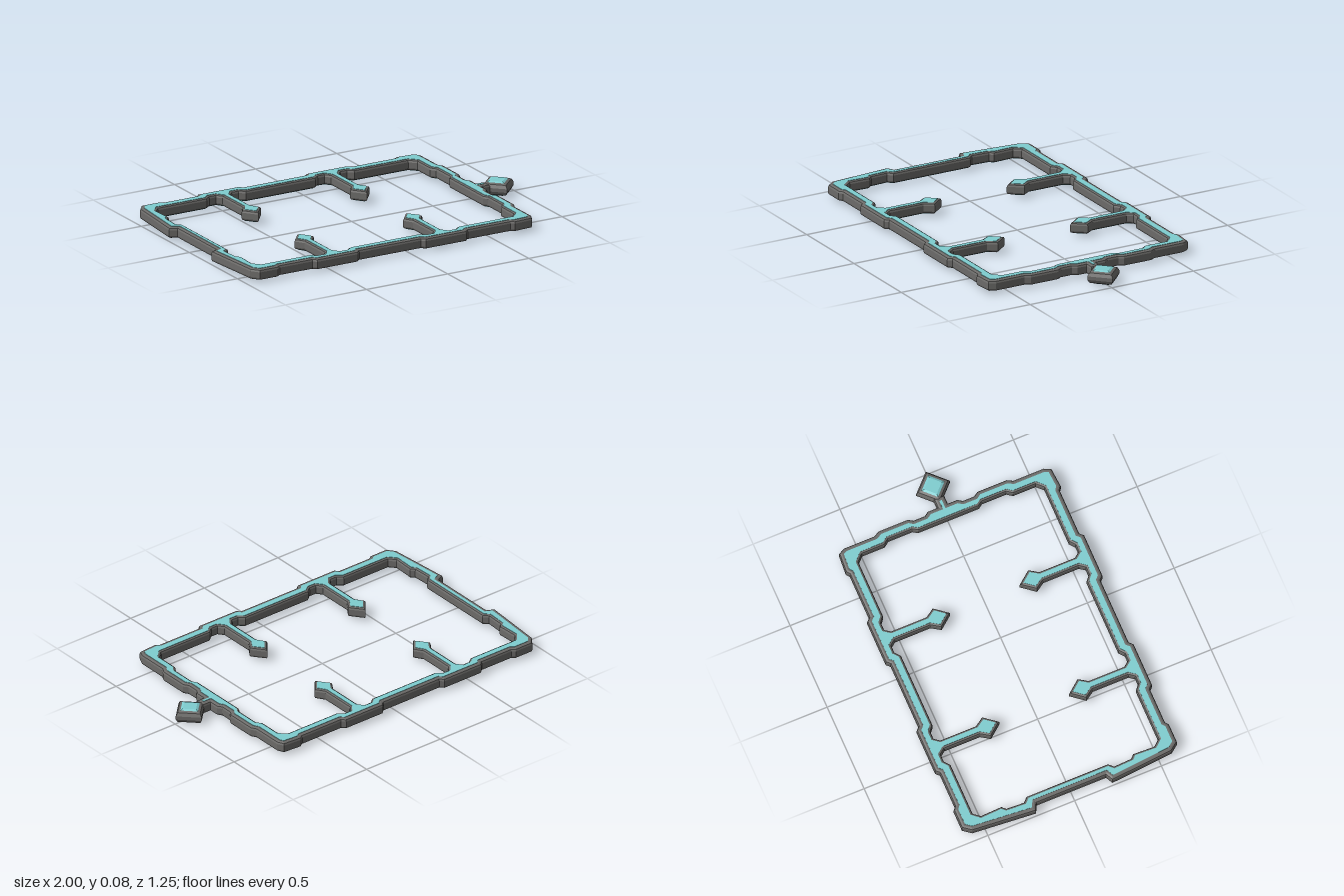
import * as THREE from 'three';

const stone = new THREE.MeshStandardMaterial({ color: 0x6c6b69 });
stone.name = 'grey stone';
stone.flatShading = true;
const glow = new THREE.MeshStandardMaterial({ color: 0x7ecdd0 });
glow.name = 'pale cyan inlay';
glow.flatShading = true;

// Close a half outline (z < 0) by mirroring it across z = 0
const mirrorZ = half => [...half, ...half.map(([x, z]) => [x, -z]).reverse()];

// Move every edge of a closed polygon inwards by d (outwards when negative)
function inset(pts, d) {
  const n = pts.length;
  let area = 0;
  pts.forEach(([x, y], i) => {
    const [x2, y2] = pts[(i + 1) % n];
    area += x * y2 - x2 * y;
  });
  const s = Math.sign(area);
  const normal = (a, b) => {
    const dx = b[0] - a[0], dy = b[1] - a[1], l = Math.hypot(dx, dy);
    return [-dy / l * s, dx / l * s];
  };
  return pts.map((p, i) => {
    const n1 = normal(pts[(i + n - 1) % n], p), n2 = normal(p, pts[(i + 1) % n]);
    const k = d / (1 + n1[0] * n2[0] + n1[1] * n2[1]);
    return [p[0] + (n1[0] + n2[0]) * k, p[1] + (n1[1] + n2[1]) * k];
  });
}

const toVectors = pts => pts.map(([x, y]) => new THREE.Vector2(x, y));

function ringShape(outer, inner) {
  const shape = new THREE.Shape(toVectors(outer));
  shape.holes.push(new THREE.Path(toVectors(inner)));
  return shape;
}

// Extrude a plan shape upwards from y0 to y1, with an optional edge bevel
function slab(name, shape, y0, y1, material, bevel = 0) {
  const geo = new THREE.ExtrudeGeometry(shape, {
    depth: y1 - y0 - 2 * bevel, bevelEnabled: bevel > 0, bevelThickness: bevel,
    bevelSize: bevel, bevelOffset: -bevel, bevelSegments: 2,
  });
  geo.rotateX(-Math.PI / 2).translate(0, y0 + bevel, 0);
  const mesh = new THREE.Mesh(geo, material);
  mesh.name = name;
  return mesh;
}

// Notch in the inner edge with an arrow-headed prong growing out of it
function prong(cx) {
  const left = [[-0.12, -0.535], [-0.09, -0.56], [-0.05, -0.56], [-0.027, -0.53],
    [-0.027, -0.325], [-0.06, -0.275]];
  const right = left.map(([x, z]) => [-x, z]).reverse();
  return [...left, [0, -0.2], ...right].map(([x, z]) => [cx + x, z]);
}

// Raised block on the long outer edge
const bump = cx => [[cx - 0.145, -0.605], [cx - 0.125, -0.625], [cx + 0.125, -0.625], [cx + 0.145, -0.605]];

// Four-sided gem ring turned around its own centre
function gemPart(name, profile, material) {
  const mesh = new THREE.Mesh(new THREE.LatheGeometry(toVectors(profile), 4), material);
  mesh.name = name;
  mesh.position.set(0.902, 0, -0.005);
  return mesh;
}

export function createModel() {
  const model = new THREE.Group();
  model.name = 'ornateFrame';

  const outer = mirrorZ([
    [-0.955, -0.2], [-0.995, -0.22], [-0.965, -0.575], [-0.93, -0.62], [-0.82, -0.62], [-0.8, -0.605],
    ...bump(-0.455), ...bump(0.213),
    [0.62, -0.605], [0.64, -0.62], [0.75, -0.612], [0.768, -0.575], [0.768, -0.4], [0.785, -0.37],
    [0.785, -0.2], [0.768, -0.175], [0.768, -0.11], [0.785, -0.085], [0.785, -0.03], [0.835, -0.03],
  ]);
  const inner = mirrorZ([
    [-0.9, -0.235], [-0.925, -0.26], [-0.92, -0.36], [-0.9, -0.38], [-0.905, -0.5], [-0.875, -0.535],
    ...prong(-0.455), ...prong(0.213),
    [0.665, -0.535], [0.7, -0.5], [0.7, -0.37], [0.722, -0.34], [0.722, -0.2], [0.705, -0.175],
  ]);

  // Grey body with softened edges
  model.add(slab('frameBody', ringShape(outer, inner), 0.012, 0.072, stone, 0.014));

  // Cyan inlay on the upper and lower faces
  const inlay = ringShape(inset(outer, 0.023), inset(inner, -0.014));
  model.add(slab('topInlay', inlay, 0.069, 0.074, glow));
  model.add(slab('bottomInlay', inlay, 0.010, 0.015, glow));

  // Diamond gem at the side, grey rim with cyan faces
  const gem = new THREE.Group();
  gem.name = 'sideGem';
  gem.add(
    gemPart('gemRim', [[0.066, 0.006], [0.085, 0.012], [0.098, 0.03], [0.098, 0.05], [0.085, 0.068], [0.066, 0.074]], stone),
    gemPart('gemTopFace', [[0.066, 0.074], [0.05, 0.08], [0, 0.08]], glow),
    gemPart('gemBottomFace', [[0, 0], [0.05, 0], [0.066, 0.006]], glow),
  );
  model.add(gem);
  return model;
}
